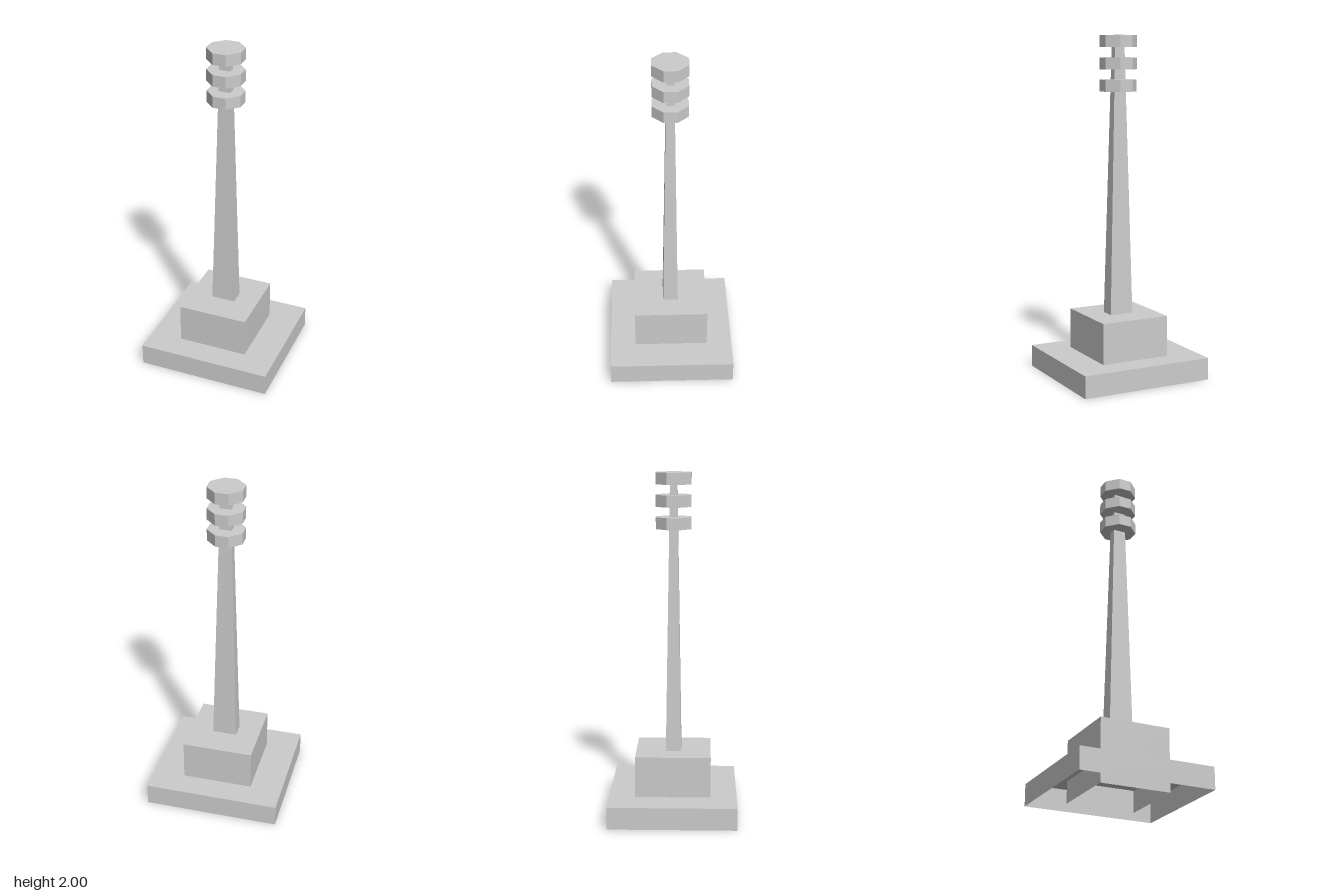
import * as THREE from 'three';

// Box resting on y = 0 with no underside
function openBox(width, height, depth) {
  const geometry = new THREE.BoxGeometry(width, height, depth);
  const index = Array.from(geometry.index.array);
  index.splice(18, 6); // drop the bottom face
  geometry.setIndex(index);
  geometry.clearGroups();
  geometry.translate(0, height / 2, 0);
  return geometry;
}

// Four-sided shaft narrowing linearly; half widths given at foot and top
function taperedShaft(y0, y1, foot, top) {
  const geometry = new THREE.BoxGeometry(2, y1 - y0, 2);
  geometry.translate(0, (y0 + y1) / 2, 0);
  const p = geometry.attributes.position;
  for (let i = 0; i < p.count; i++) {
    const half = p.getY(i) > (y0 + y1) / 2 ? top : foot;
    p.setX(i, p.getX(i) * half[0]);
    p.setZ(i, p.getZ(i) * half[1]);
  }
  geometry.computeVertexNormals();
  return geometry;
}

// Octagonal plate, flat sides facing the axes
function octagonPlate(apothem, halfSide, height) {
  const a = apothem, s = halfSide;
  const outline = [[a, -s], [a, s], [s, a], [-s, a], [-a, s], [-a, -s], [-s, -a], [s, -a]];
  const shape = new THREE.Shape(outline.map(([x, y]) => new THREE.Vector2(x, y)));
  const geometry = new THREE.ExtrudeGeometry(shape, { depth: height, bevelEnabled: false });
  geometry.rotateX(-Math.PI / 2);
  return geometry;
}

export function createModel() {
  const model = new THREE.Group();
  model.name = 'steppedColumn';

  const stone = new THREE.MeshStandardMaterial({ color: 0xcccccc });
  stone.name = 'light grey';
  stone.side = THREE.DoubleSide; // the base is hollow

  const add = (name, geometry, y = 0) => {
    const mesh = new THREE.Mesh(geometry, stone);
    mesh.name = name;
    mesh.position.y = y;
    model.add(mesh);
  };

  // Hollow stepped base
  add('baseSlab', openBox(0.8, 0.13, 0.745));
  add('plinth', openBox(0.42, 0.37, 0.44));

  // Shaft, wider across the front than the side
  add('shaft', taperedShaft(0.37, 1.96, [0.072, 0.045], [0.03, 0.021]));

  // Three stacked octagonal rings at the top
  const plate = octagonPlate(0.102, 0.038, 0.068);
  for (let i = 0; i < 3; i++) add(`ringPlate${i + 1}`, plate, 1.678 + i * 0.127);

  return model;
}
